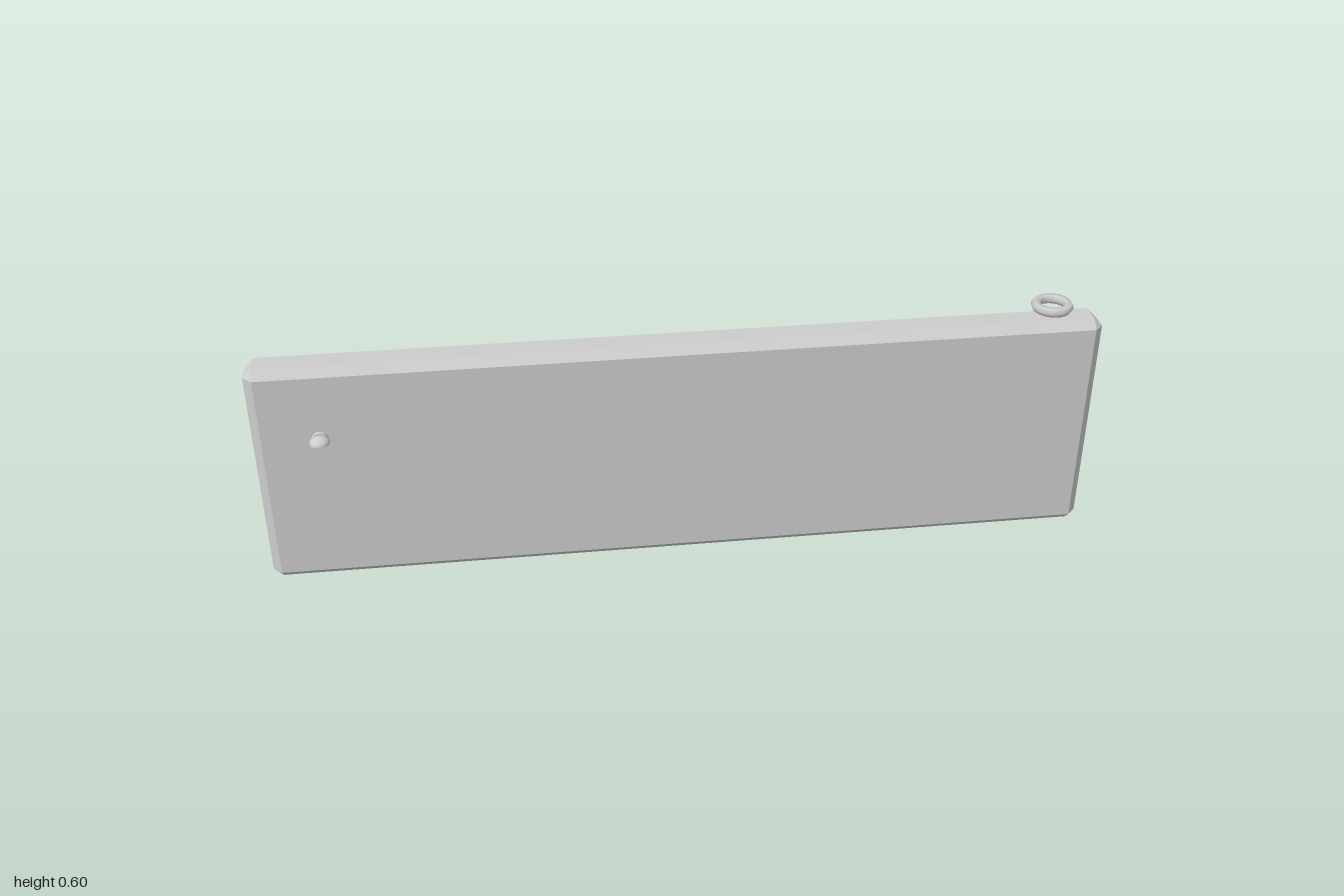
import * as THREE from 'three';
import { ConvexGeometry } from 'three/addons/geometries/ConvexGeometry.js';

// Box with every edge and corner cut by the same chamfer
function chamferedBox(hx, hy, hz, c) {
  const points = [];
  for (const sx of [-1, 1]) for (const sy of [-1, 1]) for (const sz of [-1, 1]) {
    points.push(
      new THREE.Vector3(sx * hx, sy * (hy - c), sz * (hz - c)),
      new THREE.Vector3(sx * (hx - c), sy * hy, sz * (hz - c)),
      new THREE.Vector3(sx * (hx - c), sy * (hy - c), sz * hz));
  }
  return new ConvexGeometry(points);
}

export function createModel() {
  const model = new THREE.Group();
  model.name = 'panel';
  const grey = new THREE.MeshStandardMaterial({ color: 0xcccccc });
  grey.name = 'grey';

  function add(name, geometry, parent = model) {
    const mesh = new THREE.Mesh(geometry, grey);
    mesh.name = name;
    parent.add(mesh);
    return mesh;
  }

  // Main slab
  add('slab', chamferedBox(1, 0.284, 0.048, 0.0215)).position.y = 0.284;

  // Ring lying flat above the top edge
  const ring = add('ring', new THREE.TorusGeometry(0.038, 0.012, 6, 32));
  ring.rotation.x = -Math.PI / 2;
  ring.position.set(0.88, 0.5945, 0);

  // One round base with a half-dome hood on each face
  const hoodProfile = [new THREE.Vector2(0, 0), new THREE.Vector2(0.0235, 0)];
  for (let i = 0; i <= 8; i++) {
    const a = (i / 8) * Math.PI / 2;
    hoodProfile.push(new THREE.Vector2(0.0235 * Math.cos(a), 0.016 * Math.sin(a)));
  }
  hoodProfile[hoodProfile.length - 1].x = 0;
  for (const side of [1, -1]) {
    const knob = new THREE.Group();
    knob.name = side > 0 ? 'frontKnob' : 'backKnob';
    knob.position.set(-0.845, 0.388, 0);
    knob.rotation.y = side > 0 ? 0 : Math.PI;
    model.add(knob);

    const base = add('knobBase', new THREE.CylinderGeometry(0.0195, 0.0195, 0.012, 24), knob);
    base.rotation.x = Math.PI / 2;
    base.position.z = 0.052;

    // Flat underside and rounded top are separate so the rim stays sharp
    const hood = add('knobHood', new THREE.LatheGeometry(hoodProfile.slice(2), 24), knob);
    hood.position.z = 0.0655;
    const underside = add('hoodUnderside', new THREE.CircleGeometry(0.0235, 24), knob);
    underside.rotation.x = Math.PI / 2;
    underside.position.z = 0.0655;
  }
  return model;
}
